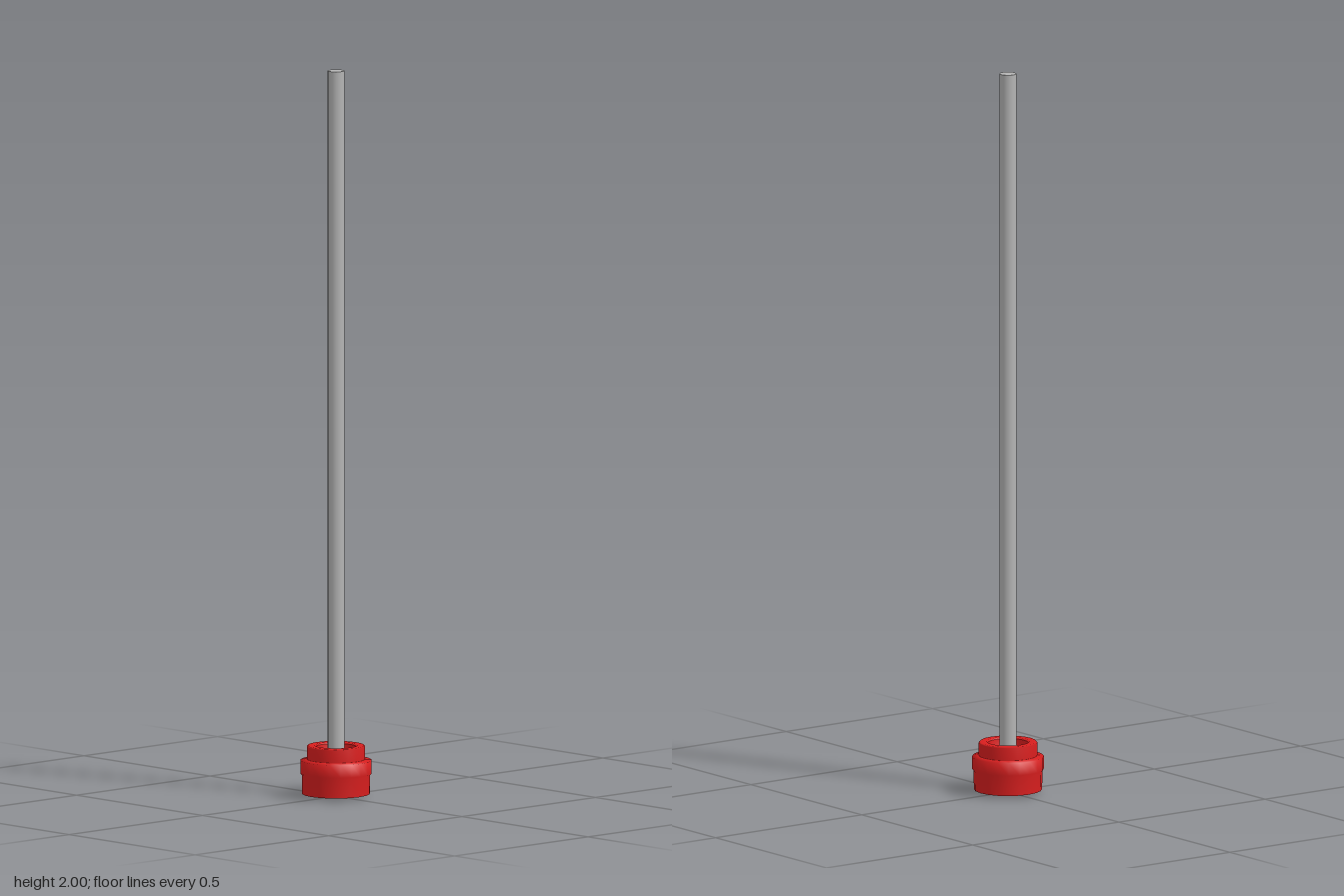
import * as THREE from 'three';

export function createModel() {
  const group = new THREE.Group();
  const red = new THREE.MeshStandardMaterial({ color: 0xd81e1e, side: THREE.DoubleSide });
  const grey = new THREE.MeshStandardMaterial({ color: 0xb4b4b4 });

  // Revolved section; separate sections keep the edges between them sharp
  const ring = (name, profile) => {
    const points = profile.map(([r, y]) => new THREE.Vector2(r, y));
    const mesh = new THREE.Mesh(new THREE.LatheGeometry(points, 20), red);
    mesh.name = name;
    group.add(mesh);
  };

  // Stepped round foot with a recessed top
  ring('footUnderside', [[0, 0], [0.093, 0.008]]);
  ring('footWall', [[0.093, 0.008], [0.094, 0.06], [0.098, 0.065], [0.098, 0.1], [0.08, 0.103]]);
  ring('collar', [[0.08, 0.1], [0.08, 0.138], [0.077, 0.141], [0.058, 0.141], [0.055, 0.137]]);
  ring('recess', [[0.055, 0.137], [0.052, 0.105], [0.046, 0.1], [0, 0.1]]);

  // Tall thin rod rising from the recess
  const rod = new THREE.Mesh(new THREE.CylinderGeometry(0.023, 0.023, 1.95, 16), grey);
  rod.name = 'rod';
  rod.position.y = 1.025;
  group.add(rod);

  return group;
}
